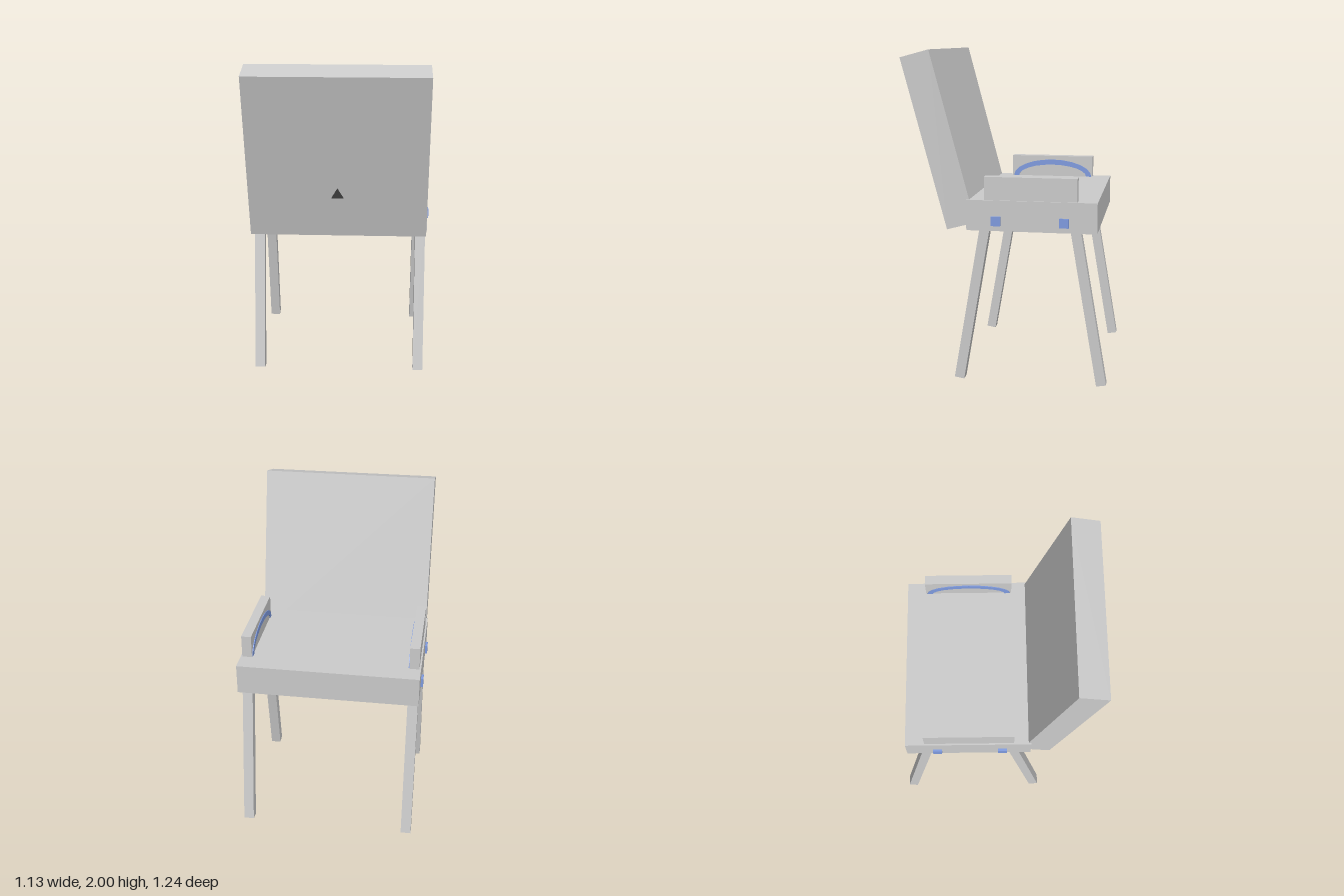
import * as THREE from 'three';

const grey = new THREE.MeshStandardMaterial({ color: 0xcccccc, flatShading: true });
const blue = new THREE.MeshStandardMaterial({ color: 0x7f9be0, flatShading: true });
const dark = new THREE.MeshStandardMaterial({ color: 0x444444, flatShading: true });

function part(parent, name, geometry, material, x, y, z) {
  const mesh = new THREE.Mesh(geometry, material);
  mesh.name = name;
  mesh.position.set(x, y, z);
  parent.add(mesh);
  return mesh;
}

// Arched band, flat on its feet, length along x and height along y
function archGeometry(halfLength, height, band) {
  const shape = new THREE.Shape();
  const steps = 12;
  const ring = (a, rx, ry) => [Math.cos(a) * rx, Math.sin(a) * ry];
  shape.moveTo(halfLength, 0);
  for (let i = 1; i <= steps; i++) shape.lineTo(...ring((Math.PI * i) / steps, halfLength, height));
  for (let i = steps; i >= 0; i--) shape.lineTo(...ring((Math.PI * i) / steps, halfLength - band, height - band));
  return new THREE.ExtrudeGeometry(shape, { depth: 0.006, bevelEnabled: false });
}

export function createModel() {
  const chair = new THREE.Group();
  chair.name = 'chair';

  part(chair, 'seat', new THREE.BoxGeometry(1.1, 0.184, 0.782), grey, 0, 1.03, -0.162);

  // Reclined back with a small triangular mark on its rear face
  const back = new THREE.Group();
  back.name = 'back';
  back.position.set(0, 1.469, 0.398);
  back.rotation.x = THREE.MathUtils.degToRad(14.9);
  chair.add(back);
  part(back, 'backrest', new THREE.BoxGeometry(1.08, 1.054, 0.18), grey, 0, 0, 0);
  const triangle = new THREE.Shape([
    new THREE.Vector2(-0.037, 0), new THREE.Vector2(0.037, 0), new THREE.Vector2(0, 0.067),
  ]);
  part(back, 'backMark', new THREE.ExtrudeGeometry(triangle, { depth: 0.012, bevelEnabled: false }),
    dark, 0, -0.257, 0.085);

  const legLength = 1.0;
  const splay = THREE.MathUtils.degToRad(9.8);
  for (const side of [1, -1]) {
    const sideName = side > 0 ? 'left' : 'right';

    // Armrest with an arched strip on its inner face
    part(chair, sideName + 'Armrest', new THREE.BoxGeometry(0.06, 0.14, 0.556), grey, side * 0.51, 1.191, -0.156);
    const arch = part(chair, sideName + 'ArmrestArch', archGeometry(0.27, 0.115, 0.035), blue,
      side * 0.481, 1.121, -0.156);
    arch.rotation.y = -side * Math.PI / 2;

    // Square pegs on the seat sides
    for (const z of [0.05, -0.358]) {
      part(chair, sideName + 'Peg', new THREE.BoxGeometry(0.04, 0.056, 0.056), blue, side * 0.544, 0.998, z);
    }

    // Splayed legs, sunk into the seat
    for (const [z, tilt] of [[0.283, -splay], [-0.589, splay]]) {
      const leg = part(chair, sideName + 'Leg', new THREE.BoxGeometry(0.063, legLength, 0.06), grey, side * 0.511,
        0.005 + (Math.cos(tilt) * legLength) / 2, z + (Math.sin(tilt) * legLength) / 2);
      leg.rotation.x = tilt;
    }
  }
  return chair;
}
